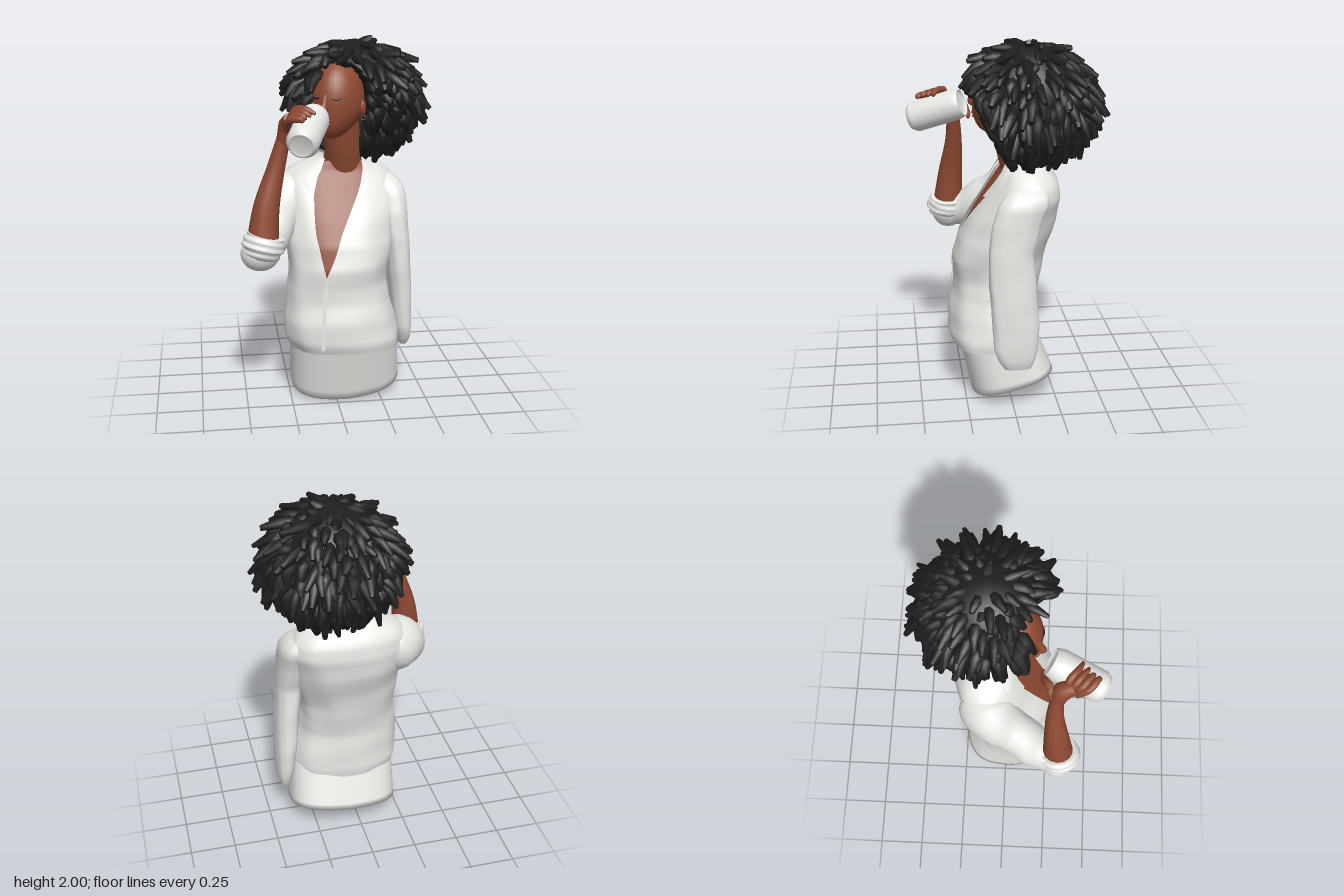
import * as THREE from 'three';
import { mergeGeometries } from 'three/addons/utils/BufferGeometryUtils.js';

const V = (x, y, z) => new THREE.Vector3(x, y, z);
const { clamp, lerp } = THREE.MathUtils;

// Skin stretched over a stack of rings; closed rings get end caps
function loft(rings, closed = true) {
  const pos = [], idx = [], n = rings[0].length;
  const put = (p) => pos.push(p.x, p.y, p.z) / 3 - 1;
  rings.forEach((r) => r.forEach(put));
  for (let i = 0; i < rings.length - 1; i++)
    for (let j = 0; j < (closed ? n : n - 1); j++) {
      const a = i * n + j, b = i * n + (j + 1) % n;
      idx.push(a, b, b + n, a, b + n, a + n);
    }
  if (closed)
    [rings[0], rings[rings.length - 1]].forEach((r, end) => {
      const c = put(r.reduce((s, p) => s.add(p), V(0, 0, 0)).divideScalar(n));
      const f = r.map(put);
      f.forEach((v, j) => end ? idx.push(c, v, f[(j + 1) % n]) : idx.push(c, f[(j + 1) % n], v));
    });
  const g = new THREE.BufferGeometry();
  g.setAttribute('position', new THREE.Float32BufferAttribute(pos, 3));
  g.setIndex(idx);
  g.computeVertexNormals();
  return g;
}

// Tapered tube along a smooth path
function limb(points, radii, sides = 14, steps = 14, ref = V(1, 0, 0), fold = 0) {
  const curve = new THREE.CatmullRomCurve3(points), rings = [];
  for (let i = 0; i <= steps; i++) {
    const t = i / steps, c = curve.getPoint(t), T = curve.getTangent(t);
    const N = ref.clone().addScaledVector(T, -ref.dot(T)).normalize(), B = T.clone().cross(N);
    const k = t * (radii.length - 1), m = Math.min(Math.floor(k), radii.length - 2);
    const r = lerp(radii[m], radii[m + 1], k - m);
    rings.push(Array.from({ length: sides }, (_, j) => {
      const a = j / sides * Math.PI * 2, q = r + fold * Math.sin(t * 20 + 2 * Math.sin(a));
      return c.clone().addScaledVector(N, q * Math.cos(a)).addScaledVector(B, q * Math.sin(a));
    }));
  }
  return loft(rings);
}

// Interpolate table rows by their first value, the height
function rowAt(rows, y) {
  let i = 0;
  while (i < rows.length - 2 && y > rows[i + 1][0]) i++;
  const t = clamp((y - rows[i][0]) / (rows[i + 1][0] - rows[i][0]), 0, 1);
  return rows[i].map((v, k) => lerp(v, rows[i + 1][k], t));
}

// Rows: height, centre x, half width, centre z, half depth
const TORSO = [[.31, .055, .305, .07, .245], [.36, .045, .315, .075, .26], [.48, .03, .31, .075, .25],
  [.58, .02, .285, .065, .235], [.68, .02, .27, .055, .24], [.78, .025, .275, .05, .25],
  [.9, .035, .29, .02, .25], [1.03, .04, .31, -.035, .235], [1.15, .045, .325, -.085, .205],
  [1.23, .04, .315, -.105, .17], [1.28, .04, .27, -.105, .14], [1.35, .06, .14, -.085, .1], [1.39, .064, .12, -.075, .1]];
const ARM = [[.25, .41, .028, -.02, .07], [.29, .41, .042, -.015, .095], [.36, .403, .052, -.01, .12],
  [.5, .393, .062, -.01, .125], [.7, .378, .066, .005, .125], [.9, .36, .07, .012, .12],
  [1.05, .345, .078, -.02, .13], [1.16, .335, .08, -.06, .135], [1.21, .315, .075, -.08, .11], [1.25, .28, .05, -.09, .07]];
// Rows: height, right and left edge of the neckline
const NECKLINE = [[.3, -.09, -.09], [.75, -.065, -.065], [.85, -.09, -.02], [.97, -.11, .025],
  [1.05, -.115, .065], [1.16, -.112, .125], [1.25, -.085, .165], [1.32, -.05, .19], [1.35, -.045, .19]];
const pw = (v, p = 0.82) => Math.sign(v) * Math.abs(v) ** p; // squareness of the sections

function sectionPoint(rows, y, a, inset = 0, fold = 0) {
  const [, cx, rx, cz, rz] = rowAt(rows, y);
  const k = 1 + fold * Math.sin(3 * a + 16 * y) * Math.sin(5 * a - 9 * y);
  return V(cx + (rx - inset) * k * pw(Math.sin(a)), y, cz + (rz - inset) * k * pw(Math.cos(a)));
}
function frontAngle(x, y) {
  const [, cx, rx] = rowAt(TORSO, y);
  return Math.asin(pw(clamp((x - cx) / rx, -1, 1), 1 / 0.82));
}
function sectionLoft(rows, y0, y1, inset, fold, steps = 40, n = 48) {
  return loft(Array.from({ length: steps + 1 }, (_, i) => Array.from({ length: n }, (_, j) =>
    sectionPoint(rows, lerp(y0, y1, i / steps), j / n * Math.PI * 2, inset, fold))));
}
// Flat strip lying on the chest; rows: height, two x edges
function strip(rows, lift) {
  return loft(rows.map(([y, a, b]) => [0, .33, .67, 1].map((t) => {
    const p = sectionPoint(TORSO, y, frontAngle(lerp(a, b, t), y));
    return p.setZ(p.z + lift);
  })), false);
}

export function createModel() {
  const model = new THREE.Group();
  const mat = (name, color, side = THREE.FrontSide) => {
    const m = new THREE.MeshStandardMaterial({ color, side });
    m.name = name;
    return m;
  };
  const white = mat('white cloth', 0xe6e6e3, THREE.DoubleSide);
  const skin = mat('brown skin', 0x8f4a33);
  const black = mat('black hair', 0x1e1e1e);
  const add = (name, geo, m, parent = model) => {
    const mesh = new THREE.Mesh(geo, m);
    mesh.name = name;
    parent.add(mesh);
    return mesh;
  };
  const ball = (name, m, parent, p, s) => {
    const b = add(name, new THREE.SphereGeometry(1, 20, 14), m, parent);
    b.position.set(...p);
    b.scale.set(...s);
  };

  // Skirt with a slanted cut; the first ring lies inside the bottom face
  add('skirt', loft(Array.from({ length: 10 }, (_, i) => Array.from({ length: 48 }, (_, j) => {
    const t = Math.max(0, i - 1) / 8, a = j / 48 * Math.PI * 2, k = i ? 1 : .6;
    const s = k * pw(Math.sin(a), .7), c = k * pw(Math.cos(a), .7);
    const low = V(.07 + .31 * s, 0, -.02 + .23 * c);
    low.y = (.21 - low.z) * .27 + .04 * Math.max(0, s);
    return low.lerp(V(.055 + .3 * s, .37, .07 + .22 * c), t);
  }))), white);

  // Open-necked shirt, chest beneath it, placket and collar
  add('shirt', loft(Array.from({ length: 55 }, (_, i) => {
    const y = lerp(.31, 1.375, i / 54), [, l, r] = rowAt(NECKLINE, y);
    const a = frontAngle(r, y), b = frontAngle(l, y) + Math.PI * 2;
    return Array.from({ length: 65 }, (_, j) => sectionPoint(TORSO, y, lerp(a, b, j / 64), 0, .022));
  }), false), white);
  add('shirtHem', sectionLoft(TORSO, .31, .34, .008, 0, 2), white);
  add('chest', sectionLoft(TORSO, .7, 1.33, .014, 0), skin);
  add('placket', strip([[.34, -.1, -.08], [.5, -.095, -.075], [.65, -.085, -.065], [.75, -.075, -.055]], .009), white);
  add('leftCollar', strip([[1.15, .125, .15], [1.2, .14, .23], [1.23, .15, .275], [1.29, .165, .25], [1.35, .16, .2]], .02), white);
  add('rightCollar', strip([[1.19, -.14, -.11], [1.25, -.19, -.09], [1.29, -.17, -.065], [1.35, -.08, -.04]], .02), white);

  // Sleeves
  add('leftSleeve', sectionLoft(ARM, .25, 1.25, 0, .025), white);
  add('rightSleeve', limb([V(-.15, 1.14, -.12), V(-.23, 1.12, -.09), V(-.3, 1.04, .03), V(-.37, .95, .17), V(-.42, .905, .29)],
    [.13, .152, .122, .11, .095], 20, 30, V(1, 0, 0), .005), white);
  ball('elbow', white, model, [-.42, .905, .295], [.105, .095, .095]);
  add('rolledCuff', limb([V(-.42, .89, .3), V(-.405, .95, .3), V(-.39, 1.005, .3)], [.095, .116, .098], 20, 12, V(1, 0, 0), .006), white);

  // Forearm and neck
  add('forearm', limb([V(-.41, .93, .3), V(-.383, 1.15, .28), V(-.33, 1.35, .262), V(-.285, 1.52, .265)],
    [.088, .07, .048, .036]), skin);
  add('neck', limb([V(.075, 1.13, -.15), V(.07, 1.34, -.06), V(.05, 1.56, -.01)], [.13, .104, .098], 20), skin);

  // Tilted cup
  const base = V(-.22, 1.515, .505), axis = V(-.115, 1.62, .215).sub(base).normalize();
  const profile = [[0, .008], [.052, .008], [.056, 0], [.068, 0], [.085, .03], [.086, .27], [.075, .312],
    [.07, .312], [.066, .295], [0, .295]].map(([x, y]) => new THREE.Vector2(x, y));
  const cup = add('cup', new THREE.LatheGeometry(profile, 32), white);
  cup.position.copy(base);
  cup.quaternion.setFromUnitVectors(V(0, 1, 0), axis);

  // Hand wrapped round the cup
  const side = V(-1, 0, 0).addScaledVector(axis, axis.x).normalize(), up = side.clone().cross(axis);
  if (up.y < 0) up.negate();
  const grip = (s, deg, r) => base.clone().addScaledVector(axis, s)
    .addScaledVector(side, r * Math.cos(deg * Math.PI / 180)).addScaledVector(up, r * Math.sin(deg * Math.PI / 180));
  const hand = new THREE.Group();
  hand.name = 'hand';
  model.add(hand);
  add('palm', limb([V(-.29, 1.49, .265), grip(.2, -5, .115), grip(.16, 30, .105)], [.037, .052, .038], 14, 10), skin, hand);
  for (let i = 0; i < 4; i++) {
    const s = .21 - i * .037;
    add('finger', limb([grip(.18 - i * .015, 5, .105), grip(s, 45, .115), grip(s - .02, 80, .103), grip(s - .03, 108 - i * 10, .095)],
      [.022, .02, .017, .009], 8, 12, axis), skin, hand);
  }
  add('thumb', limb([V(-.295, 1.5, .26), grip(.27, -15, .115), grip(.3, -50, .1), grip(.31, -80, .095)],
    [.028, .024, .018, .009], 8, 12, axis), skin, hand);

  // Head, turned towards the cup
  const head = new THREE.Group();
  head.name = 'head';
  head.position.set(.03, 1.665, .02);
  head.rotation.y = -.55;
  model.add(head);
  const skull = new THREE.SphereGeometry(1, 32, 24), sp = skull.attributes.position;
  for (let i = 0; i < sp.count; i++) {
    const y = sp.getY(i), jaw = Math.max(0, -y) ** 2;
    sp.setXYZ(i, sp.getX(i) * .142 * (1 - .25 * jaw), y * (y > 0 ? .22 : .195), sp.getZ(i) * .172 + .065 * jaw);
  }
  skull.computeVertexNormals();
  add('face', skull, skin, head);
  add('nose', limb([V(0, .05, .158), V(0, .005, .175), V(0, -.03, .187), V(0, -.045, .165)], [.014, .017, .022, .016], 10), skin, head);
  ball('upperLip', skin, head, [0, -.085, .167], [.034, .012, .014]);
  ball('lowerLip', skin, head, [0, -.106, .164], [.03, .013, .013]);
  const faceZ = (x, y) => .172 * Math.sqrt(1 - (x / .142) ** 2 - (y / .22) ** 2);
  for (const s of [-1, 1]) {
    const lid = [0, .5, 1].map((t) => {
      const x = s * lerp(.035, .085, t), h = .034 - .006 * Math.sin(t * Math.PI);
      return V(x, h, faceZ(x, h) + .001);
    });
    add('closedEye', limb(lid, [.003, .006, .003], 6, 8, V(0, 1, 0)), black, head);
    ball('ear', skin, head, [s * .142, -.03, -.01], [.016, .042, .026]);
    const ring = add('earring', new THREE.TorusGeometry(.012, .003, 6, 14), skin, head);
    ring.position.set(s * .147, -.083, -.005);
  }

  // Hair: a dense core with drooping locks, open around the face
  const hair = new THREE.Group();
  hair.name = 'hair';
  model.add(hair);
  const C = V(.13, 1.67, -.1), R = V(.372, .325, .39);
  const lowest = (x) => x < 0 ? 1.44 - x * .95 : 1.44 - Math.min(x, .2) * .35;
  const frontLimit = (y) => y < 1.72 ? .16 + (y - 1.65) * .5 : .2 + (y - 1.72) * 2;
  const inFace = (p) => p.z > 0 && p.x > -.15 && p.x < .19 &&
    (p.y < 1.62 || ((p.x - .025) / .17) ** 2 + ((p.y - 1.62) / .255) ** 2 < 1);
  const core = new THREE.SphereGeometry(1, 64, 48), cp = core.attributes.position;
  for (let i = 0; i < cp.count; i++) {
    const p = V().fromBufferAttribute(cp, i).multiply(R).multiplyScalar(.83);
    if (p.y > 0) p.y *= 1.15;
    p.add(C);
    p.z = inFace(p) ? 0 : Math.min(p.z, frontLimit(p.y) - .04);
    p.y = Math.max(p.y, lowest(p.x));
    cp.setXYZ(i, p.x, p.y, p.z);
  }
  core.computeVertexNormals();
  add('hairCore', core, black, hair);

  let seed = 7;
  const rnd = () => (seed = (seed * 16807) % 2147483647) / 2147483647;
  const locks = [], COUNT = 420;
  for (let i = 0; i < COUNT; i++) {
    const y = 1 - 2 * (i + .5) / COUNT, r = Math.sqrt(1 - y * y), a = i * 2.39996 + rnd() * .3;
    const d = V(r * Math.cos(a), y, r * Math.sin(a));
    const down = V(0, -1, 0).addScaledVector(d, d.y).normalize();
    const at = (k) => d.clone().multiply(R).multiplyScalar(k).add(C);
    const reach = .9 + rnd() * .16 - .03 * Math.max(0, y), drop = .07 + rnd() * .09 + .04 * Math.max(0, -y);
    const mid = at(.9 - .01 * Math.max(0, y)).addScaledVector(down, drop * .3);
    const tip = at(reach).addScaledVector(down, drop);
    tip.x += (rnd() - .5) * .06;
    tip.z += (rnd() - .5) * .04;
    for (const p of [mid, tip]) p.z = Math.min(p.z, frontLimit(p.y) - rnd() * .03);
    if (inFace(tip) || inFace(mid) || tip.y < lowest(tip.x) - .11) continue;
    const w = .026 + rnd() * .01, root = at(.7);
    root.z = Math.min(root.z, frontLimit(root.y) - .06);
    locks.push(limb([root, mid, tip], [w, w * 1.1, w * .85, w * .4], 7, 6, V(-d.z, .01, d.x).normalize()));
  }
  add('locks', mergeGeometries(locks), black, hair);
  return model;
}
